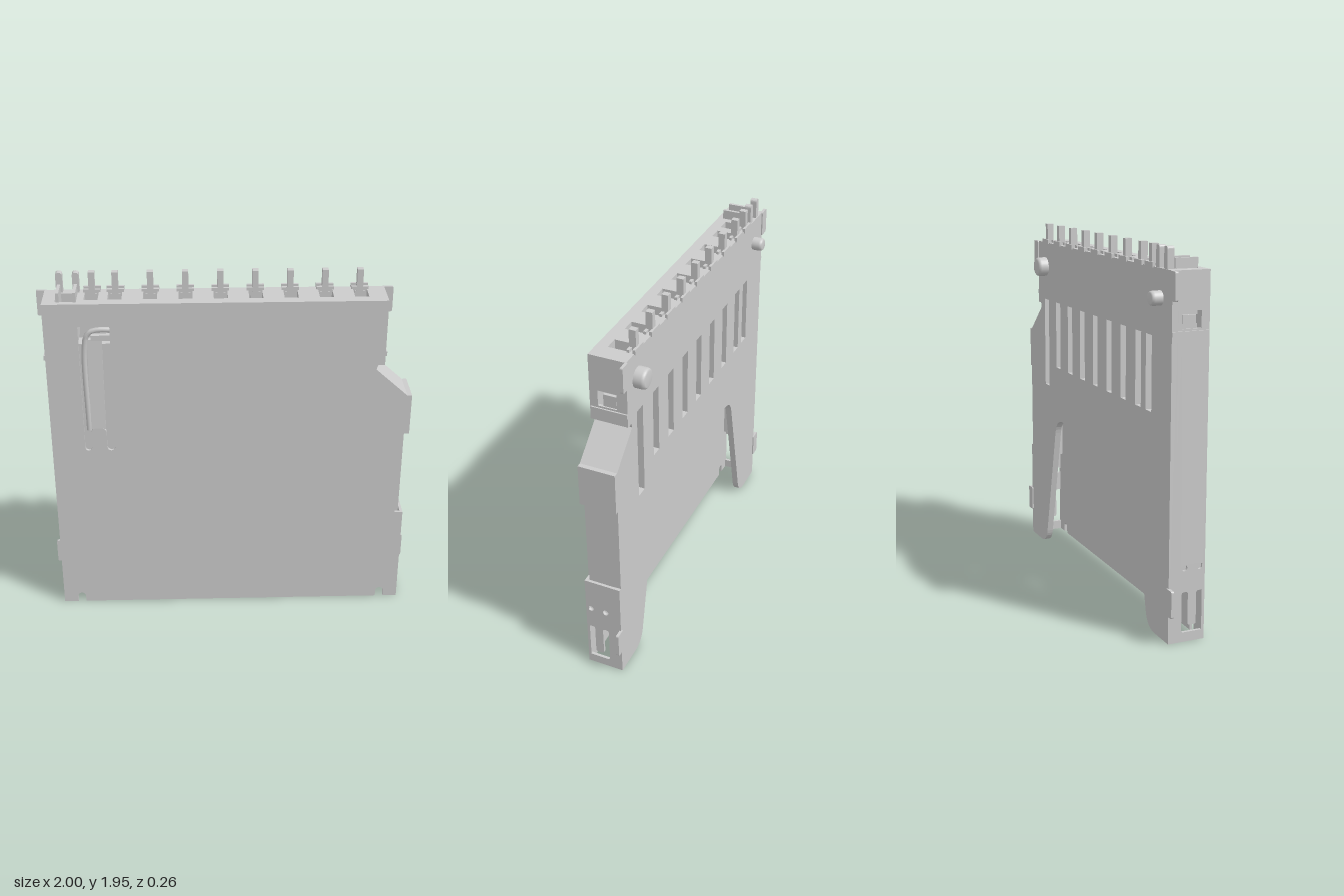
import * as THREE from 'three';

const mat = new THREE.MeshStandardMaterial({ color: 0xcccccc, side: THREE.DoubleSide, flatShading: true });
const smooth = new THREE.MeshStandardMaterial({ color: 0xcccccc, side: THREE.DoubleSide });

export function createModel() {
  const root = new THREE.Group();
  root.name = 'cardSocket';

  const add = (name, geo, m = mat) => {
    const mesh = new THREE.Mesh(geo, m);
    mesh.name = name;
    root.add(mesh);
    return mesh;
  };
  const box = (name, x0, x1, y0, y1, z0, z1) =>
    add(name, new THREE.BoxGeometry(x1 - x0, y1 - y0, z1 - z0)
      .translate((x0 + x1) / 2, (y0 + y1) / 2, (z0 + z1) / 2));
  const poly = pts => pts.map(p => new THREE.Vector2(p[0], p[1]));
  const rect = (x0, x1, y0, y1) => poly([[x0, y0], [x1, y0], [x1, y1], [x0, y1]]);
  // Closed outline with every corner rounded by up to r
  const rounded = (pts, r) => {
    const p = poly(pts), path = new THREE.Path();
    p.forEach((c, i) => {
      const a = p[(i + p.length - 1) % p.length], b = p[(i + 1) % p.length];
      const near = q => c.clone().lerp(q, Math.min(0.49, r / c.distanceTo(q)));
      const s = near(a), e = near(b);
      if (i) path.lineTo(s.x, s.y); else path.moveTo(s.x, s.y);
      path.quadraticCurveTo(c.x, c.y, e.x, e.y);
    });
    path.closePath();
    return path.getPoints(6);
  };
  const extrude = (outline, holes, depth) => {
    const s = new THREE.Shape(outline);
    holes.forEach(h => s.holes.push(new THREE.Path(h)));
    return new THREE.ExtrudeGeometry(s, { depth, bevelEnabled: false, curveSegments: 8 });
  };
  // Plate in the xy plane between z0 and z1
  const plate = (name, outline, holes, z0, z1) =>
    add(name, extrude(outline, holes, z1 - z0).translate(0, 0, z0));
  // Plate in the zy plane between x0 and x1 (points given as -z, y)
  const sidePlate = (name, outline, holes, x0, x1) =>
    add(name, extrude(outline, holes, x1 - x0).rotateY(Math.PI / 2).translate(x0, 0, 0));

  const F = 0.128, B = -0.07, T = 0.015, top = 1.84;
  const contacts = [-0.71, -0.59, -0.41, -0.23, -0.05, 0.13, 0.31, 0.49, 0.67];

  // Front sheet cover with arched notches in its lower edge
  const arch = x => {
    const pts = [[x - 0.022, 0]];
    for (let i = 0; i <= 8; i++) {
      const a = Math.PI * (1 - i / 8);
      pts.push([x + 0.022 * Math.cos(a), 0.036 + 0.022 * Math.sin(a)]);
    }
    pts.push([x + 0.022, 0]);
    return pts;
  };
  const rightEdge = [[0.955, 1.3], [0.93, 1.3], [0.757, 1.455], [0.765, 1.48], [0.8, 1.48], [0.8, top]];
  const springCut = rounded([[-0.78, 0.995], [-0.742, 0.995], [-0.742, 1.13], [-0.662, 1.13],
    [-0.662, 0.995], [-0.618, 0.995], [-0.618, 1.74], [-0.78, 1.74]], 0.03);
  plate('frontCover', poly([[-0.955, 0], ...arch(-0.855), ...arch(0.855), [0.955, 0], [0.955, 0.57],
    [0.91, 0.57], [0.91, 1.07], [0.955, 1.07], ...rightEdge, [-0.955, top]]), [springCut], F - T, F);

  // Spring tongue bent inward, and the cam rod behind the cut
  const tongue = add('springTongue', new THREE.BoxGeometry(0.076, 0.5, 0.012));
  tongue.position.set(-0.702, 1.375, F - 0.027);
  tongue.rotation.x = -0.08;
  const rod = new THREE.CatmullRomCurve3([[-0.755, 1.1], [-0.755, 1.58], [-0.735, 1.66], [-0.69, 1.68], [-0.6, 1.68]]
    .map(p => new THREE.Vector3(p[0], p[1], 0.085)));
  add('camRod', new THREE.TubeGeometry(rod, 24, 0.014, 8), smooth);
  box('camHook', -0.72, -0.57, 1.62, 1.65, 0.06, 0.09);
  box('slider', -0.9, -0.8, 1.05, 1.58, -0.03, 0.09);
  box('sliderArm', -0.8, -0.6, 1.56, 1.6, 0.0, 0.08);

  // Back base plate with contact slots and a trapezoid opening
  const slots = contacts.map((x, i) => rect(x - 0.033, x + 0.033, i === 8 ? 1.0 : 1.13, 1.51));
  const opening = new THREE.Shape();
  opening.moveTo(-0.955, 0);
  opening.lineTo(-0.8, 0);
  opening.quadraticCurveTo(-0.72, 0, -0.7, 0.08);
  opening.lineTo(-0.55, 0.73);
  opening.quadraticCurveTo(-0.53, 0.82, -0.43, 0.82);
  opening.lineTo(0.43, 0.82);
  opening.quadraticCurveTo(0.53, 0.82, 0.55, 0.73);
  opening.lineTo(0.7, 0.08);
  opening.quadraticCurveTo(0.72, 0, 0.8, 0);
  opening.lineTo(0.94, 0);
  const base = [...opening.getPoints(8), ...poly([[0.94, 0.57], [0.93, 0.57], [0.93, 1.07], [0.94, 1.07],
    [0.94, 1.3], ...rightEdge.slice(1), [-0.955, top]])];
  plate('basePlate', base, slots, B, B + 0.035);

  // Top wall with a through pocket for each contact and one for the switch
  const pockets = contacts.map(x => rect(x - 0.036, x + 0.036, -0.07, 0.035));
  pockets.push(rect(-0.89, -0.785, -0.095, 0.02));
  add('topWall', extrude(rect(-0.94, 0.79, -(F - T), -B), pockets, 0.13)
    .rotateX(-Math.PI / 2).translate(0, top - 0.13, 0));

  // Side walls: latch cut, round holes and an upper window
  const latch = rounded([[-0.12, 0.05], [-0.002, 0.05], [-0.002, 0.26], [-0.036, 0.26],
    [-0.036, 0.085], [-0.082, 0.085], [-0.082, 0.26], [-0.12, 0.26]], 0.012);
  const holes = [0.1, 0.015].map(z =>
    new THREE.Path().absarc(-z, 0.385, 0.016, 0, Math.PI * 2).getPoints(8));
  const window_ = rect(-0.085, 0.015, 1.565, 1.65);
  const z0 = -F, z1 = -B;
  sidePlate('rightSideSheet', rect(z0, z1, 0, top), [latch, ...holes, window_], -0.955, -0.94);
  sidePlate('leftLowerSheet', rect(z0, z1, 0, 0.57), [latch, ...holes], 0.94, 0.955);
  sidePlate('leftUpperSheet', rect(z0, z1, 1.48, top), [window_], 0.785, 0.8);
  box('leftShoulderSheet', 0.94, 0.955, 1.07, 1.3, B, F);
  box('leftMiddleWall', 0.9, 0.93, 0.5, 1.15, B, F - T);
  box('leftRail', 0.9, 0.938, 0.3, 1.3, B, -0.01);
  box('rightInnerWall', -0.94, -0.905, 0.3, 1.52, B, F - T);

  // Slanted shoulder on the left, following the corner cut of the card
  plate('slantedShoulder', poly([[0.94, 1.3], [0.93, 1.3], [0.757, 1.455], [0.765, 1.48], [0.8, 1.48],
    [0.8, 1.5], [0.75, 1.5], [0.738, 1.45], [0.922, 1.285], [0.94, 1.285]]), [], B, F - T);

  // Snap clips in the upper windows
  for (const [x, s] of [[0.8, 1], [-0.955, -1]]) {
    box('snapBar', x - 0.008, x + 0.008, 1.53, 1.555, B, F - 0.005);
    const cx = x - s * 0.016;
    box('snapBlock', cx - 0.008, cx + 0.008, 1.56, 1.63, -0.01, 0.06);
  }

  // Solder tabs flush with the back
  for (const [x0, x1, y0, y1] of [[-1, -0.94, 1.7, top], [0.79, 0.85, 1.7, top],
    [-1, -0.94, 0.15, 0.29], [0.94, 1, 0.15, 0.29]])
    plate('solderTab', rounded([[x0, y0], [x1, y0], [x1, y1], [x0, y1]], 0.01), [], -0.077, -0.062);

  // Contacts: tail, foot and sloping spring beam
  contacts.forEach((x, i) => {
    box('contactTail', x - 0.016, x + 0.016, top - 0.02, 1.947, -0.066, -0.03);
    box('contactFoot', x - 0.045, x + 0.045, top - 0.005, 1.86, -0.076, -0.062);
    box('contactShoulder', x - 0.045, x + 0.045, top - 0.005, 1.855, -0.045, -0.03);
    const tip = i === 8 ? 1.02 : 1.15;
    const beam = extrude(poly([[0.03, top - 0.01], [0.03, 1.56], [-0.055, tip + 0.08], [-0.03, tip],
      [-0.018, tip], [-0.04, tip + 0.08], [0.045, 1.56], [0.045, top - 0.01]]), [], 0.052);
    add('contactBeam', beam.rotateY(Math.PI / 2).translate(x - 0.026, 0, 0));
  });

  // Detection switch blades at the right end of the top
  for (const x of [-0.875, -0.79]) {
    box('switchBlade', x - 0.008, x + 0.008, 1.62, 1.89, -0.02, 0.1);
    plate('switchTail', rounded([[x - 0.017, 1.8], [x + 0.017, 1.8], [x + 0.017, 1.947], [x - 0.017, 1.947]], 0.015),
      [], -0.066, -0.03);
  }
  box('switchLever', -0.875, -0.795, 1.72, 1.8, 0.015, 0.06);

  // Locating pegs on the back
  for (const [x, r] of [[0.685, 0.054], [-0.83, 0.036]]) {
    const profile = poly([[r, 0], [r, 0.04], [r * 0.93, 0.052], [r * 0.75, 0.058], [0, 0.058]]);
    add('locatingPeg', new THREE.LatheGeometry(profile, 28).rotateX(-Math.PI / 2), smooth)
      .position.set(x, 1.7, B);
  }
  return root;
}
